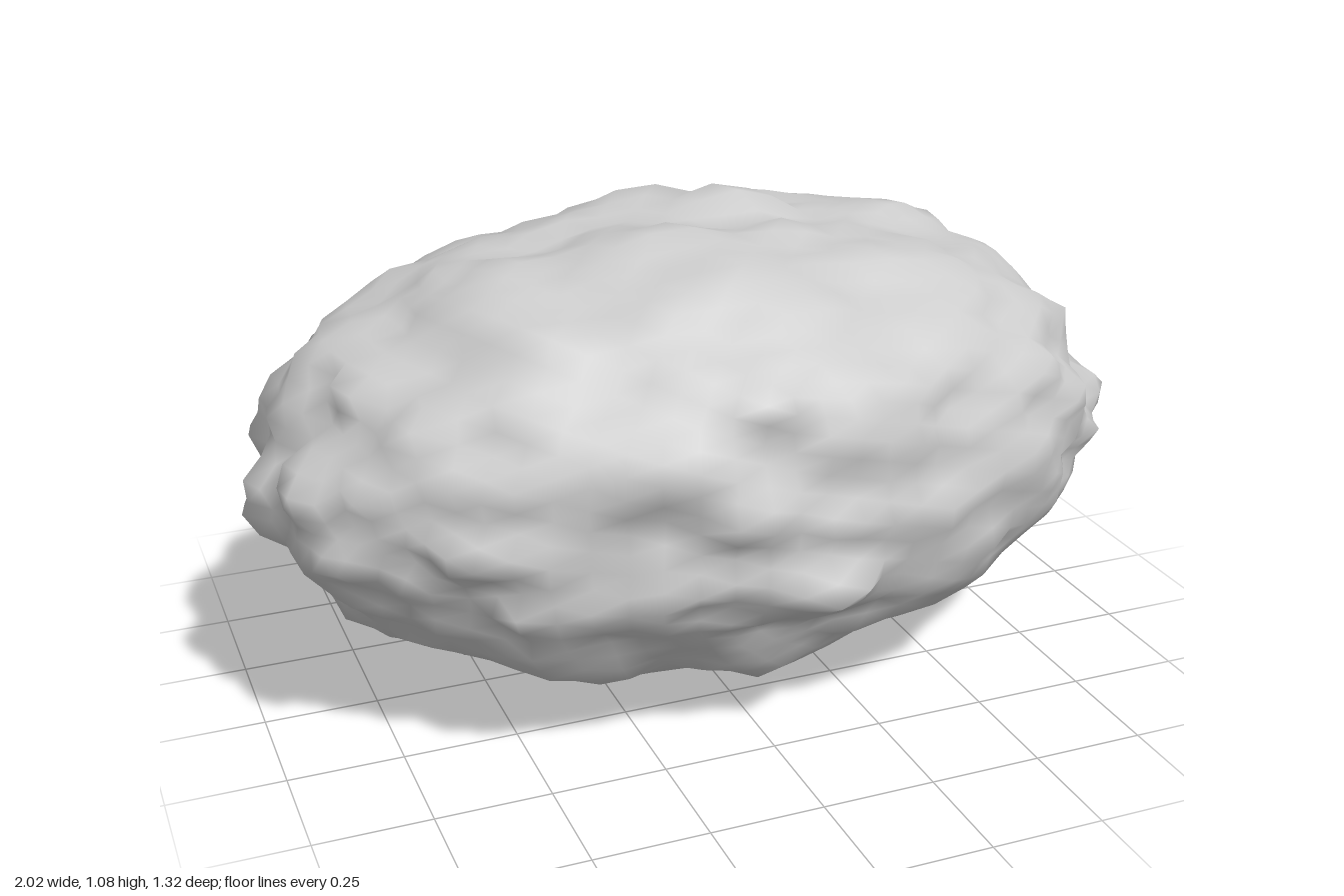
import * as THREE from 'three';
import { mergeVertices } from 'three/addons/utils/BufferGeometryUtils.js';

const CENTRE = new THREE.Vector3(0, 0.56, 0);
const HALF = new THREE.Vector3(1, 0.52, 0.66);

// Outlines of the rock: lengthwise (x, y), crosswise (z, y) and level (x, z)
const lengthwise = [
  [0.93, 0.68], [0.87, 0.82], [0.77, 0.93], [0.7, 0.95], [0.55, 0.97], [0.43, 1.03], [0.25, 1.06],
  [-0.03, 1.05], [-0.3, 1.02], [-0.55, 1.02], [-0.73, 0.93], [-0.85, 0.85], [-0.96, 0.74], [-0.98, 0.47],
  [-0.88, 0.38], [-0.81, 0.19], [-0.65, 0.15], [-0.45, 0.1], [-0.3, 0.09], [-0.13, 0.03],
  [0.3, 0.07], [0.5, 0.13], [0.72, 0.18], [0.82, 0.25], [0.85, 0.33], [0.92, 0.4],
];
const crosswise = [
  [0.61, 0.78], [0.52, 0.9], [0.44, 0.96], [0.36, 1.04], [0.22, 1.05], [0.02, 1.05], [-0.28, 1.05],
  [-0.4, 0.98], [-0.48, 0.92], [-0.6, 0.84], [-0.61, 0.75], [-0.64, 0.66], [-0.65, 0.56], [-0.6, 0.3],
  [-0.5, 0.2], [-0.4, 0.12], [-0.2, 0.06], [0.07, 0.02], [0.2, 0.09], [0.4, 0.11], [0.5, 0.18],
  [0.5, 0.26], [0.58, 0.34], [0.64, 0.5],
];
const level = [
  [0.95, -0.05], [0.95, -0.2], [0.88, -0.36], [0.76, -0.46], [0.6, -0.53], [0.4, -0.58], [0.2, -0.65],
  [0.05, -0.63], [-0.3, -0.62], [-0.45, -0.58], [-0.63, -0.52], [-0.75, -0.43], [-0.93, -0.32], [-0.96, -0.2],
  [-0.98, -0.05], [-0.96, 0.25], [-0.87, 0.34], [-0.7, 0.5], [-0.5, 0.56], [-0.3, 0.59], [0.3, 0.59],
  [0.5, 0.55], [0.7, 0.49], [0.85, 0.38], [0.9, 0.28],
];

// Outermost peaks
const peaks = [
  [1.01, 0.56, 0.13], [-1.01, 0.59, 0.05], [0.11, -0.01, -0.08], [0.11, 1.09, -0.08], [-0.12, 1.07, 0.14],
  [-0.12, 0.6, 0.665], [0.1, 0.4, 0.66], [-0.12, 0.45, -0.67], [0.2, 0.62, -0.65],
].map(toPolar);

// Slightly boxy ball, before roughening
function ballRadius(d) {
  const P = 2.08;
  return 0.95 * (Math.abs(d.x) ** P + Math.abs(d.y) ** P + Math.abs(d.z) ** P) ** (-1 / P);
}

// Direction and distance of a point, measured in the ball
function toPolar([x, y, z]) {
  const dir = new THREE.Vector3(x, y, z).sub(CENTRE).divide(HALF);
  const reach = dir.length();
  return { dir: dir.normalize(), reach };
}

// An outline runs over the crests, so the surface lies a little inside it
const CREST = 0.035;
const guides = [
  ...lengthwise.map(([x, y]) => [x, y, 0]),
  ...crosswise.map(([z, y]) => [0, y, z]),
  ...level.map(([x, z]) => [x, CENTRE.y, z]),
].map(toPolar).map(({ dir, reach }) => ({ dir, offset: reach - CREST - ballRadius(dir) }));

// Repeatable lattice value between -1 and 1
function hash(x, y, z) {
  let h = Math.imul(x, 374761393) ^ Math.imul(y, 668265263) ^ Math.imul(z, 1440662683);
  h = Math.imul(h ^ (h >>> 13), 1274126177);
  h = Math.imul(h ^ (h >>> 16), 2246822519);
  return ((h ^ (h >>> 15)) >>> 0) / 2147483647.5 - 1;
}

// Smooth value noise
function noise(p, frequency, shift) {
  const [x, y, z] = p.toArray().map((c) => c * frequency + shift);
  const ix = Math.floor(x), iy = Math.floor(y), iz = Math.floor(z);
  const ease = (t) => t * t * (3 - 2 * t);
  const u = ease(x - ix), v = ease(y - iy), w = ease(z - iz);
  let sum = 0;
  for (let i = 0; i < 2; i++)
    for (let j = 0; j < 2; j++)
      for (let k = 0; k < 2; k++)
        sum += hash(ix + i, iy + j, iz + k) * (i ? u : 1 - u) * (j ? v : 1 - v) * (k ? w : 1 - w);
  return sum;
}

function rockGeometry() {
  let geo = new THREE.IcosahedronGeometry(1, 13);
  geo.deleteAttribute('uv');
  geo.deleteAttribute('normal');
  geo = mergeVertices(geo, 1e-4);

  const pos = geo.attributes.position;
  const d = new THREE.Vector3(), turned = new THREE.Vector3();
  const tilt = new THREE.Vector3(1, 2, 3).normalize();
  for (let i = 0; i < pos.count; i++) {
    d.fromBufferAttribute(pos, i).normalize();

    // Follow the outlines where they are near
    let weight = 0.4, offset = 0;
    for (const g of guides) {
      const w = Math.exp(-d.distanceToSquared(g.dir) / 0.02);
      weight += w;
      offset += w * g.offset;
    }

    // Lumps and fine roughness
    turned.copy(d).applyAxisAngle(tilt, 1);
    let r = ballRadius(d) + offset / weight;
    r += 0.04 * noise(turned, 5.5, 17.3) + 0.045 * noise(turned, 9, 41.6);

    // Pull the surface out to the peaks
    for (const p of peaks) r += Math.max(0, p.reach - r) * Math.exp(-d.distanceToSquared(p.dir) / 0.01);
    d.multiplyScalar(r).multiply(HALF).add(CENTRE);
    pos.setXYZ(i, d.x, d.y, d.z);
  }
  geo.computeVertexNormals();
  return geo;
}

export function createModel() {
  const group = new THREE.Group();
  group.name = 'boulder';
  const rock = new THREE.Mesh(rockGeometry(), new THREE.MeshStandardMaterial({ color: 0xcccccc }));
  rock.name = 'rock';
  group.add(rock);
  return group;
}
